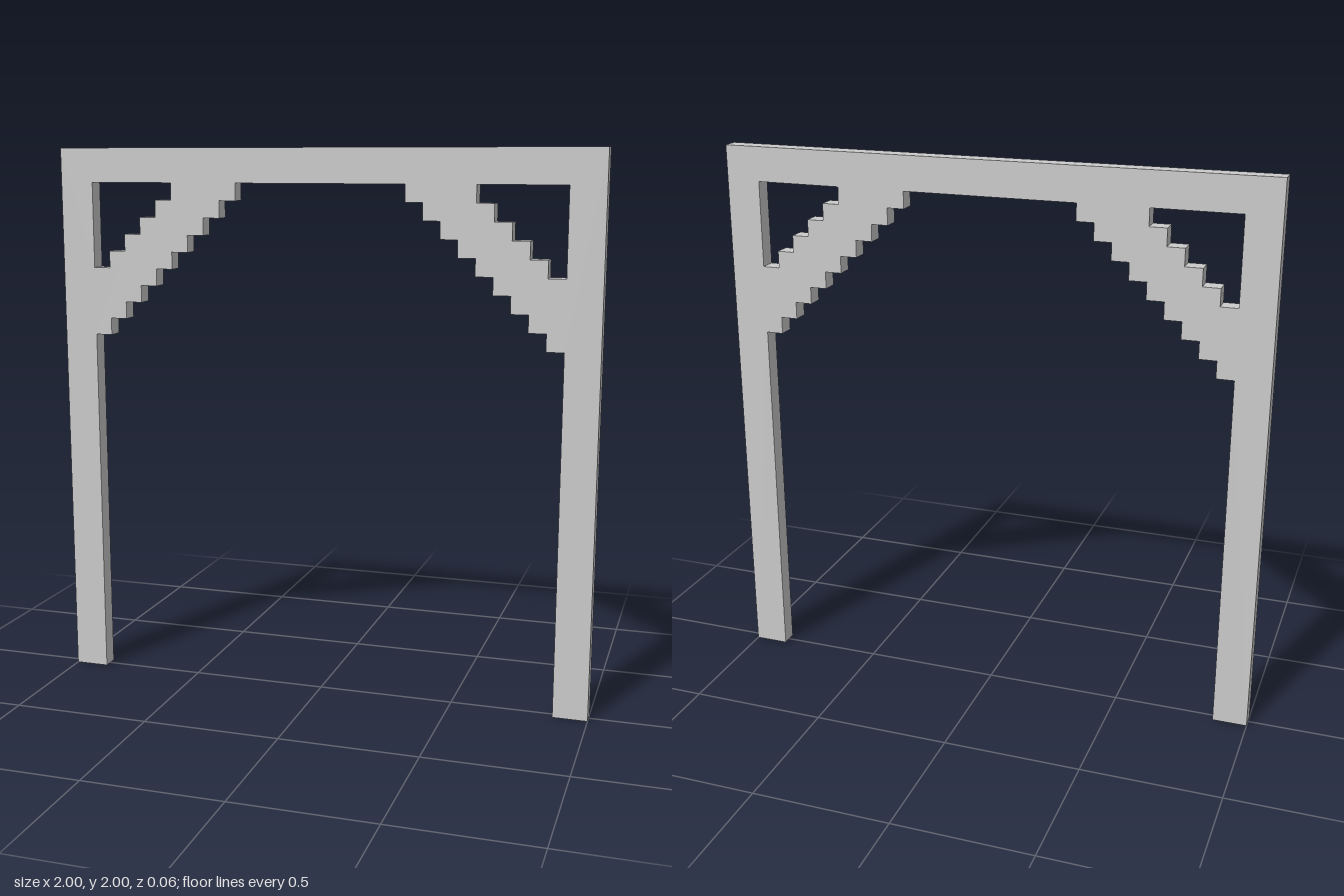
import * as THREE from 'three';

const U = 1 / 16; // grid step of the stair-cut edges

// Stair going up and inwards: `count` treads starting at (x, y), in grid steps
function stair(x, y, count) {
  const pts = [];
  for (let i = 0; i < count; i++) pts.push([x + i, y + i], [x + i + 1, y + i]);
  return pts;
}

const mirror = (pts) => pts.map(([x, y]) => [-x, y]).reverse();
const toVectors = (pts) => pts.map(([x, y]) => new THREE.Vector2(x * U, y * U));

export function createModel() {
  const group = new THREE.Group();
  group.name = 'archway';

  // Post, stepped brace underside and beam underside, mirrored to the other half
  const half = [[-16, 32], [-16, 0], [-14, 0], ...stair(-14, 21, 9), [-5, 30]];
  const shape = new THREE.Shape(toVectors([...half, ...mirror(half)]));

  // Stepped triangular openings between post, beam and brace
  const opening = [[-14, 30], ...stair(-14, 25, 5), [-9, 30]];
  for (const pts of [opening, mirror(opening)]) {
    shape.holes.push(new THREE.Path(toVectors(pts)));
  }

  const geometry = new THREE.ExtrudeGeometry(shape, { depth: U, bevelEnabled: false });
  geometry.translate(0, 0, -U / 2);

  const frame = new THREE.Mesh(geometry, new THREE.MeshStandardMaterial({ color: 0xcccccc }));
  frame.name = 'bracedFrame';
  group.add(frame);
  return group;
}
